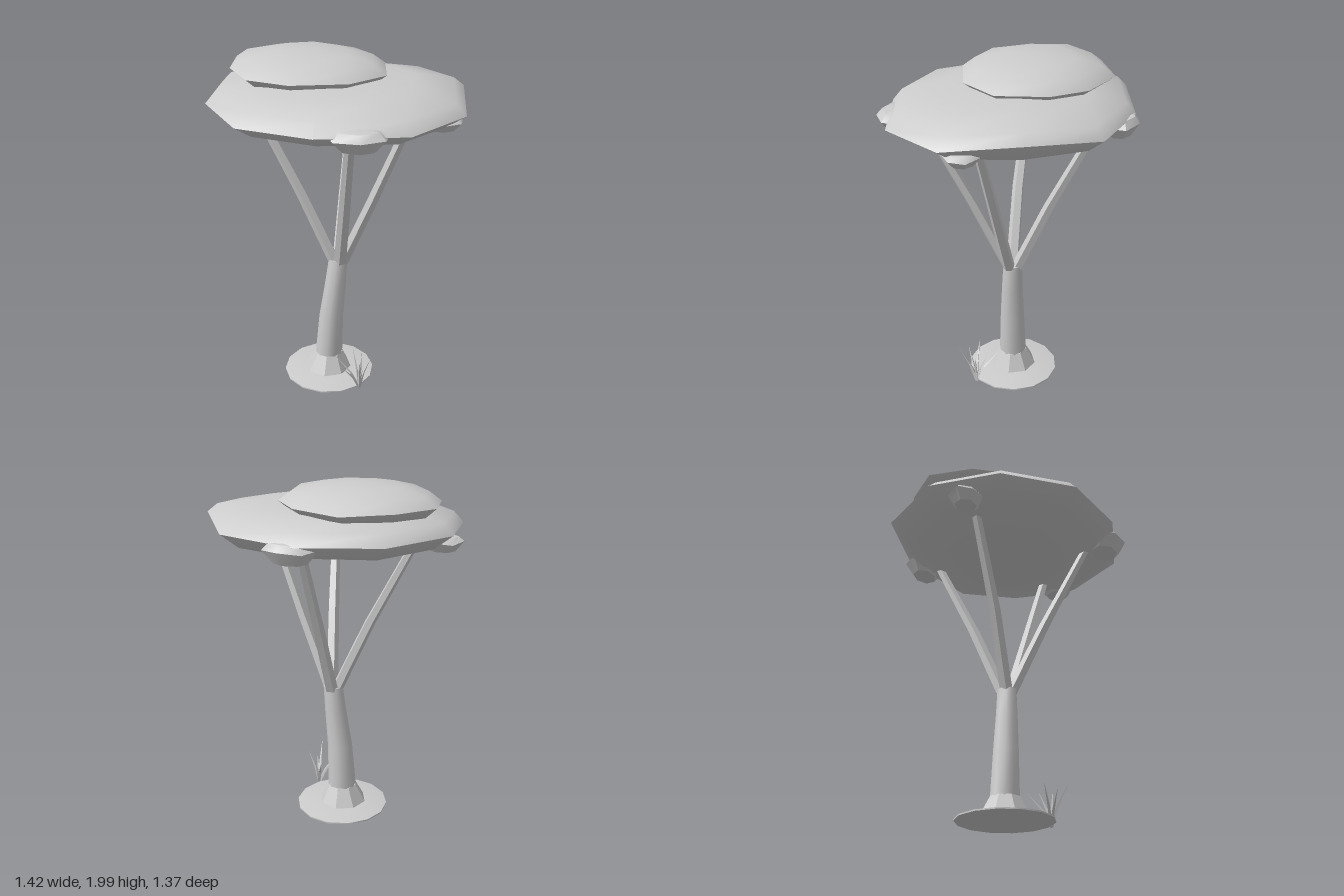
import * as THREE from 'three';
import { toCreasedNormals } from 'three/addons/utils/BufferGeometryUtils.js';

const grey = new THREE.MeshStandardMaterial({ color: 0xcccccc });
grey.name = 'pale grey';

// Skin closed rings (bottom to top, counter-clockwise from above); crease sets the sharp-edge angle
function skin(rows, crease) {
  const n = rows[0].length, index = [];
  const geo = new THREE.BufferGeometry().setFromPoints(rows.flat());
  const add = (a, b, c, pts) => {
    const [p, q, r] = [pts[a], pts[b], pts[c]];
    const area = q.clone().sub(p).cross(r.clone().sub(p)).length();
    if (area > 1e-9) index.push(a, b, c);
  };
  const pts = rows.flat();
  for (let i = 0; i < rows.length - 1; i++) {
    for (let j = 0; j < n; j++) {
      const a = i * n + j, b = i * n + (j + 1) % n;
      add(a, b, b + n, pts);
      add(a, b + n, a + n, pts);
    }
  }
  geo.setIndex(index);
  return toCreasedNormals(geo, crease);
}

// Horizontal rings along a path of [x, y, z, radius], closed at both ends
function limb(path, sides, crease) {
  const first = path[0], last = path[path.length - 1];
  const rows = [[...first.slice(0, 3), 0], ...path, [...last.slice(0, 3), 0]];
  return skin(rows.map(([x, y, z, r]) => Array.from({ length: sides }, (_, j) => {
    const a = (j / sides) * Math.PI * 2;
    return new THREE.Vector3(x + r * Math.sin(a), y, z + r * Math.cos(a));
  })), crease);
}

// Flattened leaf mass: rim of [x, z, lift] and profile of [scale, y, share of lift]
function leafMass(cx, cz, rim, profile, crease) {
  return skin(profile.map(([s, y, w]) => rim.map(([x, z, lift]) =>
    new THREE.Vector3(cx + (x - cx) * s, y + lift * w, cz + (z - cz) * s))), crease);
}

export function createModel() {
  const group = new THREE.Group();
  const add = (name, geo) => {
    const mesh = new THREE.Mesh(geo, grey);
    mesh.name = name;
    group.add(mesh);
    return mesh;
  };

  // Ground disc, root flare and leaning trunk
  add('groundDisc', limb([[-0.04, 0.01, 0.005, 0.272], [-0.04, 0.018, 0.005, 0.272],
    [-0.04, 0.035, 0.005, 0.17]], 14, 0.6));
  add('rootFlare', limb([[-0.045, 0.025, 0.005, 0.145], [-0.04, 0.14, 0.005, 0.085]], 8, 0.3));
  add('trunk', limb([[-0.04, 0.13, 0.005, 0.083], [-0.025, 0.4, 0.005, 0.073],
    [0, 0.62, 0, 0.063], [0.015, 0.78, -0.005, 0.056]], 10, 0.75));

  // Four slightly bowed branches
  const branches = [
    [[0.04, 0.76, 0.01], [0.22, 1.19, 0.05], [0.42, 1.69, 0.1]],
    [[-0.005, 0.76, 0], [-0.2, 1.19, 0.005], [-0.46, 1.69, -0.01]],
    [[0.03, 0.76, 0.015], [0.085, 1.19, 0.21], [0.15, 1.69, 0.46]],
    [[0.015, 0.76, -0.03], [0.025, 1.19, -0.22], [0.03, 1.69, -0.47]],
  ];
  for (const p of branches) {
    add('branch', limb(p.map((v, i) => [...v, [0.038, 0.034, 0.027][i]]), 5, 0.2));
  }

  // Broad main canopy
  add('mainCanopy', leafMass(0, 0, [
    [0, 0.67, -0.01], [0.46, 0.56, -0.01], [0.71, 0.22, 0], [0.68, -0.19, 0.05], [0.44, -0.54, 0.01],
    [0, -0.66, 0], [-0.44, -0.57, 0.01], [-0.69, -0.2, 0.01], [-0.665, 0.22, 0], [-0.41, 0.57, -0.01],
  ], [
    [0, 1.61, 0], [0.4, 1.625, 0], [0.85, 1.68, 0.3], [1, 1.755, 1],
    [0.92, 1.815, 0.7], [0.6, 1.865, 0.3], [0, 1.885, 0],
  ], 0.9));

  // Smaller crown sitting off centre
  add('upperCanopy', leafMass(-0.17, -0.1, [
    [-0.19, 0.32, 0], [0.11, 0.24, 0], [0.28, 0.04, 0], [0.24, -0.24, 0], [0.09, -0.42, -0.005],
    [-0.19, -0.53, -0.01], [-0.45, -0.42, 0], [-0.61, -0.24, 0.005], [-0.58, 0.02, 0], [-0.43, 0.25, 0],
  ], [
    [0, 1.83, 0], [0.86, 1.85, 0], [1, 1.9, 1], [0.84, 1.95, 0.5], [0.5, 1.985, 0], [0, 2, 0],
  ], 0.9));

  // Leaf tufts at the branch ends: centre, half width in x and z, half height
  const tufts = [
    [0.2, 1.725, 0.56, 0.165, 0.13, 0.06],
    [0.04, 1.715, -0.58, 0.15, 0.11, 0.06],
    [-0.6, 1.685, -0.01, 0.115, 0.1, 0.045],
    [0.58, 1.69, 0.13, 0.12, 0.1, 0.04],
  ];
  for (const [x, y, z, rx, rz, h] of tufts) {
    const rim = Array.from({ length: 7 }, (_, j) => {
      const a = (j / 7) * Math.PI * 2 + 0.2;
      return [x + rx * Math.sin(a), z + rz * Math.cos(a), 0.01 * Math.sin(3 * j)];
    });
    add('leafTuft', leafMass(x, z, rim, [[0, y - h, 0], [0.6, y - h * 0.95, 0], [1, y + h * 0.2, 1],
      [0.75, y + h * 0.8, 0.5], [0, y + h, 0]], 0.7));
  }

  // Grass tuft beside the trunk: blade tips
  const tips = [[0.04, 0.22, 0.2], [0.08, 0.19, 0.26], [0.19, 0.25, 0.29], [0.24, 0.22, 0.18],
    [0.18, 0.21, 0.12], [0.12, 0.2, 0.07], [0.2, 0.17, 0.23]];
  const bx = 0.175, bz = 0.19;
  for (const [x, y, z] of tips) {
    const at = (t, r) => [bx + (x - bx) * t * t * 0.5 + (x - bx) * t * 0.5, 0.01 + (y - 0.01) * t,
      bz + (z - bz) * t * t * 0.5 + (z - bz) * t * 0.5, r];
    add('grassBlade', limb([at(0, 0.011), at(0.5, 0.008), at(1, 0.001)], 3, 0.2));
  }

  return group;
}
